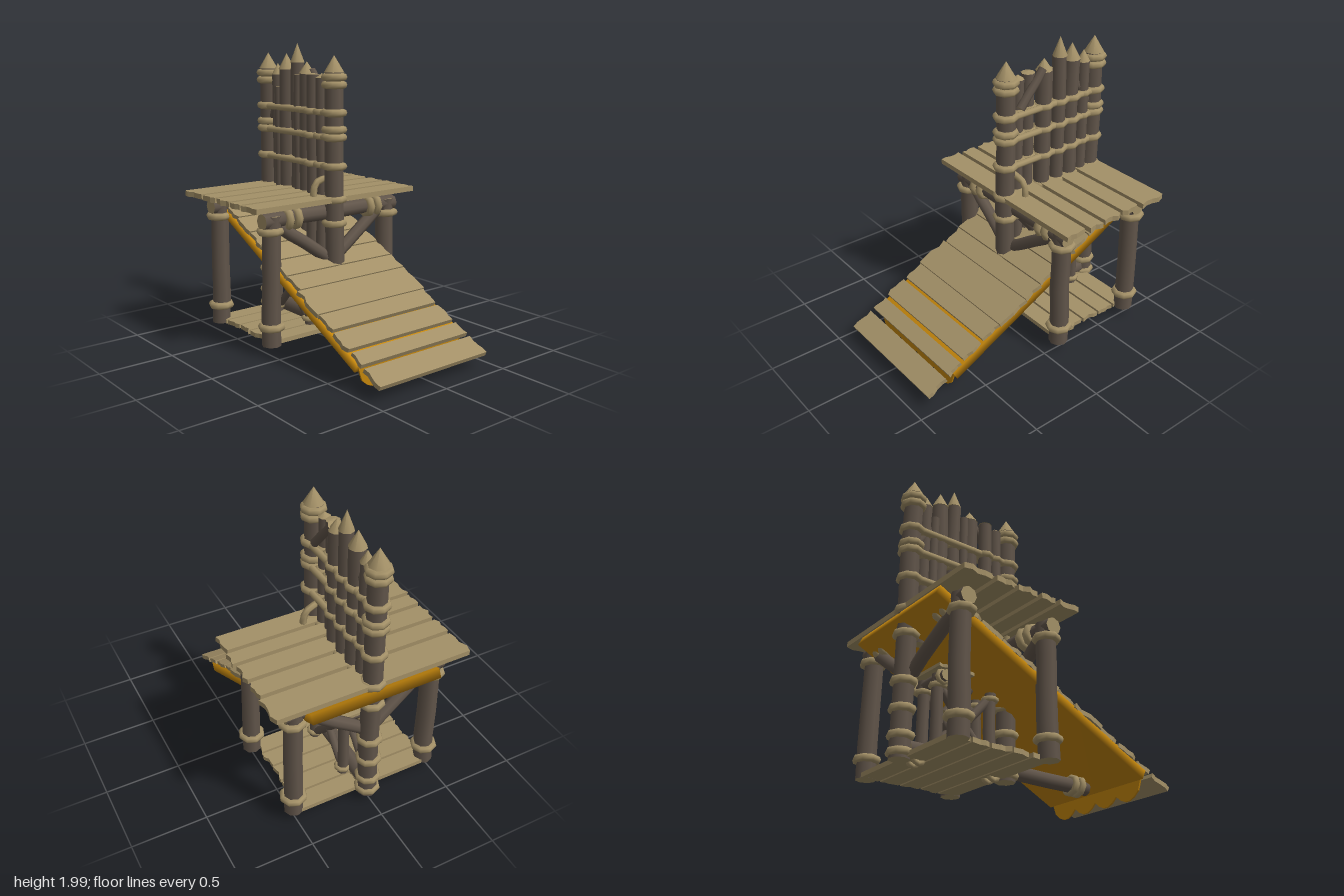
import * as THREE from 'three';
import { mergeVertices } from 'three/addons/utils/BufferGeometryUtils.js';

const mat = (name, color) => new THREE.MeshStandardMaterial({ name, color });
const bark = mat('dark bark', 0x61554a);
const wood = mat('cut wood', 0xa39067);
const cloth = mat('ochre cloth', 0xc4860c);
cloth.side = THREE.DoubleSide;

const UP = new THREE.Vector3(0, 1, 0);
const V = (x, y, z) => new THREE.Vector3(x, y, z);

export function createModel() {
  const root = new THREE.Group();
  let seed = 7;
  const rnd = () => ((seed = (seed * 16807) % 2147483647) / 2147483647) - 0.5;

  const add = (name, geo, material, parent = root) => {
    const m = new THREE.Mesh(geo, material);
    m.name = name;
    parent.add(m);
    return m;
  };

  // Slightly crooked log between two points, with pale cut ends
  const log = (name, a, b, r) => {
    const dir = b.clone().sub(a), len = dir.length();
    const g = new THREE.CylinderGeometry(r * 0.96, r, len, 8, 4);
    const p = g.attributes.position;
    const bends = [0, 1, 2, 3, 4].map(() => [rnd() * r * 0.16, rnd() * r * 0.16]);
    for (let i = 0; i < p.count; i++) {
      const k = Math.round((p.getY(i) / len + 0.5) * 4);
      p.setX(i, p.getX(i) + bends[k][0]);
      p.setZ(i, p.getZ(i) + bends[k][1]);
    }
    const m = add(name, g, [bark, wood, wood]);
    m.position.copy(a).add(b).multiplyScalar(0.5);
    m.quaternion.setFromUnitVectors(UP, dir.normalize());
    return m;
  };

  // Rope ring around an axis
  const rope = (x, y, z, r, axis = 'y', tube = 0.026) => {
    const m = add('rope', new THREE.TorusGeometry(r, tube, 8, 8), wood);
    m.position.set(x, y, z);
    if (axis === 'y') m.rotation.x = Math.PI / 2;
    if (axis === 'x') m.rotation.y = Math.PI / 2;
    return m;
  };

  // Plank along x with ragged ends; z0 < z1 across its width
  const plank = (name, half, z0, z1, thick, parent = root) => {
    const s = new THREE.Shape(), n = 4, w = z1 - z0;
    const right = half + rnd() * 0.015, left = -half + rnd() * 0.015;
    for (let i = 0; i <= n; i++) {
      const x = right + rnd() * 0.025, y = -w / 2 + w * i / n;
      i ? s.lineTo(x, y) : s.moveTo(x, y);
    }
    for (let i = n; i >= 0; i--) s.lineTo(left + rnd() * 0.025, -w / 2 + w * i / n);
    const g = new THREE.ExtrudeGeometry(s, { depth: thick, bevelEnabled: false });
    g.translate(0, 0, -thick / 2).rotateX(-Math.PI / 2);
    const m = add(name, g, wood, parent);
    m.position.z = (z0 + z1) / 2;
    return m;
  };

  // Corner posts with lashings
  for (const z of [-0.12, -0.74]) {
    for (const x of [-0.475, 0.5]) {
      log('cornerPost', V(x, 0.07, z), V(x + (x < 0 ? 0.01 : -0.01), 0.93, z), 0.064);
      for (const y of [0.195, 0.83]) rope(x, y, z, 0.064);
    }
    // Cross beam and its double lashings
    log('crossBeam', V(-0.54, 0.9, z), V(0.56, 0.9, z), 0.055);
    for (const x of [-0.355, -0.285, 0.325, 0.39]) rope(x, 0.895, z, 0.055, 'x', 0.029);
    // Braces down to the central mast
    for (const s of [-1, 1])
      log('kneeBrace', V(s * 0.42, 0.86, z), V(s * 0.03, 0.59, z + (z < -0.5 ? -0.03 : 0.03)), 0.043);
  }

  // Long brace between the two masts
  log('mastBrace', V(0.05, 0.83, -0.16), V(0.05, 0.42, -0.48), 0.038);

  // Platform planks
  for (const [a, b] of [[-0.86, -0.66], [-0.63, -0.5], [-0.47, -0.33], [-0.3, -0.195], [-0.165, -0.01]])
    plank('platformPlank', 0.66, a, b, 0.035).position.y = 0.993;

  // Base planks and the lashings beneath them
  for (let i = 0; i < 5; i++) {
    const z = -0.79 + i * 0.14;
    plank('basePlank', 0.47, z, z + 0.125, 0.03).position.y = 0.085;
  }
  for (const z of [-0.17, -0.7]) for (const x of [-0.03, 0.03]) rope(x, 0.085, z, 0.032, 'x', 0.018);

  // Wall of logs: z, radius, bottom, top of log, tip height
  const wall = [
    [-0.062, 0.064, 0.06, 1.82, 1.93], [-0.17, 0.041, 0.62, 1.78, 1.81],
    [-0.26, 0.045, 0.66, 1.8, 1.81], [-0.365, 0.055, 0.7, 1.8, 1.88],
    [-0.487, 0.048, 0.76, 1.87, 2], [-0.6, 0.056, 0.8, 1.82, 1.93],
    [-0.705, 0.043, 0.8, 1.78, 1.86], [-0.808, 0.064, 0.06, 1.82, 1.93],
  ];
  wall.forEach(([z, r, y0, y1, tip], i) => {
    const big = r > 0.06, x = big ? 0 : rnd() * 0.05;
    log(big ? 'mast' : 'wallLog', V(x, y0, z), V(x, y1, z), r);
    const cone = add('sharpenedTip', new THREE.ConeGeometry(r * 1.03, tip - y1, 8), wood);
    cone.position.set(x, (y1 + tip) / 2, z);
    const heights = big ? [0.1, 0.2, 0.36, 0.53, 0.83, 0.99, 1.21, 1.4, 1.45, 1.56, 1.74, 1.79] : [0.99, 1.21, 1.4, 1.56];
    for (const y of heights) rope(x, y, z, r - 0.004, 'y', big ? 0.026 : 0.023);
    // Horizontal lashing linking neighbouring logs on both faces
    if (i) for (const y of [1.21, 1.4, 1.56]) for (const s of [-1, 1]) {
      const g = new THREE.CylinderGeometry(0.022, 0.022, 0.13, 8).rotateX(Math.PI / 2);
      add('wallLashing', g, wood).position.set(s * 0.04, y, z + 0.055);
    }
  });
  // Slim logs filling the gaps and bracing the wall
  log('wallLog', V(-0.02, 0.74, -0.43), V(-0.02, 1.79, -0.43), 0.03);
  log('wallLog', V(-0.02, 0.8, -0.655), V(-0.02, 1.7, -0.655), 0.03);
  log('wallBrace', V(0.035, 1.6, -0.15), V(0.03, 1.82, -0.34), 0.03);
  log('wallBrace', V(0, 1.68, -0.62), V(0, 1.48, -0.77), 0.03);
  log('wallLedger', V(0.07, 0.9, -0.3), V(0.07, 0.9, -0.68), 0.04);
  for (const z of [-0.33, -0.64]) rope(0.07, 0.9, z, 0.036, 'z', 0.018);

  // Rope loops tying the front mast to the beam
  for (const s of [-1, 1]) {
    const c = new THREE.CatmullRomCurve3([V(s * 0.1, 0.86, -0.13), V(s * 0.11, 1.05, -0.14), V(s * 0.085, 1.1, -0.14), V(0, 1.13, -0.13)]);
    add('mastTie', new THREE.TubeGeometry(c, 8, 0.023, 6), wood);
  }

  // Narrow trestle under the ramp
  for (const x of [-0.075, 0.075]) {
    for (const z of [-0.24, -0.62]) {
      log('trestlePost', V(x, 0.1, z), V(x, z < -0.5 ? 0.6 : 0.57, z), 0.038);
      for (const y of [0.14, 0.53]) rope(x, y, z, 0.04, 'y', 0.018);
    }
    log('trestleBrace', V(x, 0.13, -0.25), V(x, 0.53, -0.61), 0.028);
    log('trestleBrace', V(x, 0.53, -0.25), V(x, 0.13, -0.61), 0.028);
  }
  log('trestleBeam', V(-0.17, 0.57, -0.62), V(0.17, 0.57, -0.62), 0.036);
  for (const x of [-0.13, 0.13]) rope(x, 0.57, -0.62, 0.036, 'x', 0.018);
  for (const z of [-0.68, -0.55]) plank('trestleShelf', 0.18, z, z + 0.125, 0.02).position.y = 0.62;

  // Ground log running under the frame and forward
  log('groundLog', V(0, 0.14, -0.76), V(0, 0.14, 0.6), 0.052);
  for (const z of [0.475, 0.53]) rope(0, 0.14, z, 0.052, 'z', 0.024).rotation.x = 0.15;

  // Sloping ramp: planks laid over a soft cloth-covered deck
  const ramp = new THREE.Group();
  ramp.name = 'ramp';
  const slope = Math.atan(0.5), k = 1 / Math.cos(slope);
  ramp.rotation.x = slope;
  ramp.position.y = 0.49;
  root.add(ramp);
  const box = new THREE.BoxGeometry(0.88, 0.064, 1.57 * k);
  box.deleteAttribute('normal');
  box.deleteAttribute('uv');
  const soft = mergeVertices(box);
  soft.computeVertexNormals();
  add('rampCloth', soft, cloth, ramp).position.set(0, 0.004, -0.095 * k);
  const steps = [[0.76, 0.9], [0.64, 0.735], [0.48, 0.615], [0.335, 0.46], [0.125, 0.332], [0, 0.122],
    [-0.14, -0.005], [-0.29, -0.145], [-0.42, -0.295], [-0.57, -0.425], [-0.7, -0.575]];
  for (const [a, b] of steps) {
    const p = plank('rampPlank', 0.44, a * k, b * k, 0.03, ramp);
    p.position.y = 0.047;
    p.position.z -= 0.02;
    p.rotation.x = -0.03;
  }

  // Scalloped cloth fringe at the foot of the ramp
  const f = new THREE.Shape();
  f.moveTo(-0.43, 0.17);
  f.lineTo(-0.39, 0.06);
  for (let i = 0; i < 4; i++) {
    const x = -0.39 + i * 0.195;
    f.quadraticCurveTo(x + 0.0975, -0.045, x + 0.195, 0.06);
  }
  f.lineTo(0.43, 0.17);
  const fringe = add('clothFringe', new THREE.ExtrudeGeometry(f, { depth: 0.012, bevelEnabled: false, curveSegments: 5 }), cloth);
  fringe.position.z = 0.68;

  return root;
}
